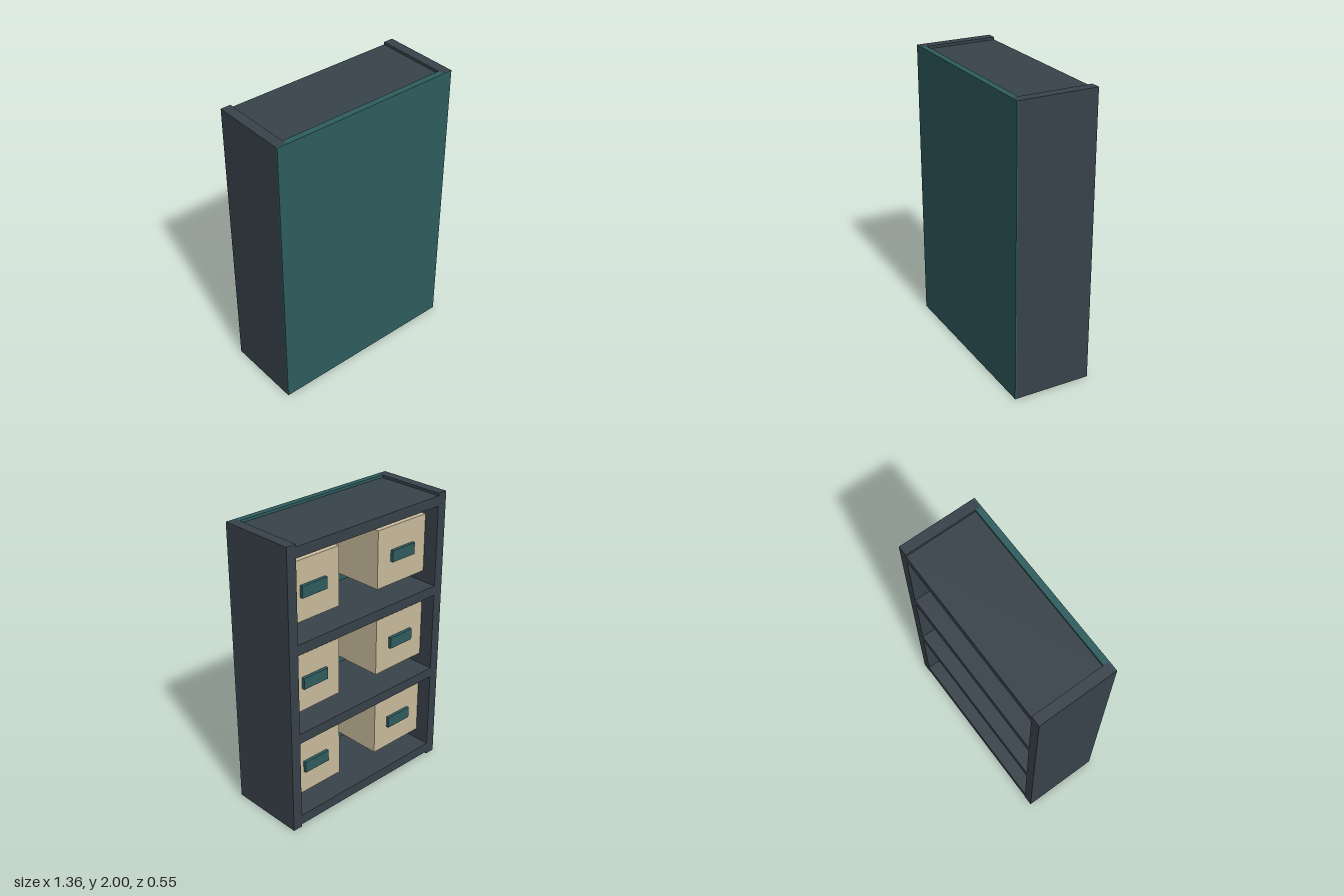
import * as THREE from 'three';

const material = (name, color) => {
  const m = new THREE.MeshStandardMaterial({ color });
  m.name = name;
  return m;
};

export function createModel() {
  const group = new THREE.Group();
  const board = material('slate board', 0x38424a);
  const teal = material('dark teal', 0x2e5c5e);
  const beige = material('beige box', 0xc8ba9b);

  // Box given by its minimum and maximum corners
  function block(name, mat, [x0, y0, z0], [x1, y1, z1]) {
    const mesh = new THREE.Mesh(new THREE.BoxGeometry(x1 - x0, y1 - y0, z1 - z0), mat);
    mesh.position.set((x0 + x1) / 2, (y0 + y1) / 2, (z0 + z1) / 2);
    mesh.name = name;
    group.add(mesh);
  }

  const W = 0.68, inner = 0.61, D = 0.273, sideFront = 0.264, panelBack = 0.23;
  const thick = 0.07, firstShelf = 0.018, pitch = 0.6313;

  // Upright sides
  block('leftSide', board, [inner, 0, -D], [W, 2, sideFront]);
  block('rightSide', board, [-W, 0, -D], [-inner, 2, sideFront]);

  // Closed panel: core between the sides, facing over their edges
  block('panelCore', teal, [-inner, 0, panelBack], [inner, 2, sideFront]);
  block('panelFacing', teal, [-W, 0, sideFront], [W, 2, D]);

  // Four shelves, open towards -z
  for (let i = 0; i < 4; i++) {
    const y = firstShelf + i * pitch;
    block('shelf', board, [-inner, y, -D], [inner, y + thick, panelBack]);
  }

  // Two storage boxes with handles in each compartment
  const boxW = 0.44, boxH = 0.405, boxBack = -0.167;
  for (let i = 0; i < 3; i++) {
    const cy = firstShelf + thick / 2 + (i + 0.5) * pitch;
    for (const side of [-1, 1]) {
      const cx = side * (inner - boxW / 2);
      block('storageBox', beige,
        [cx - boxW / 2, cy - boxH / 2, boxBack], [cx + boxW / 2, cy + boxH / 2, panelBack - 0.005]);
      block('boxHandle', teal,
        [cx - 0.102, cy - 0.04, boxBack - 0.022], [cx + 0.102, cy + 0.04, boxBack]);
    }
  }
  return group;
}
